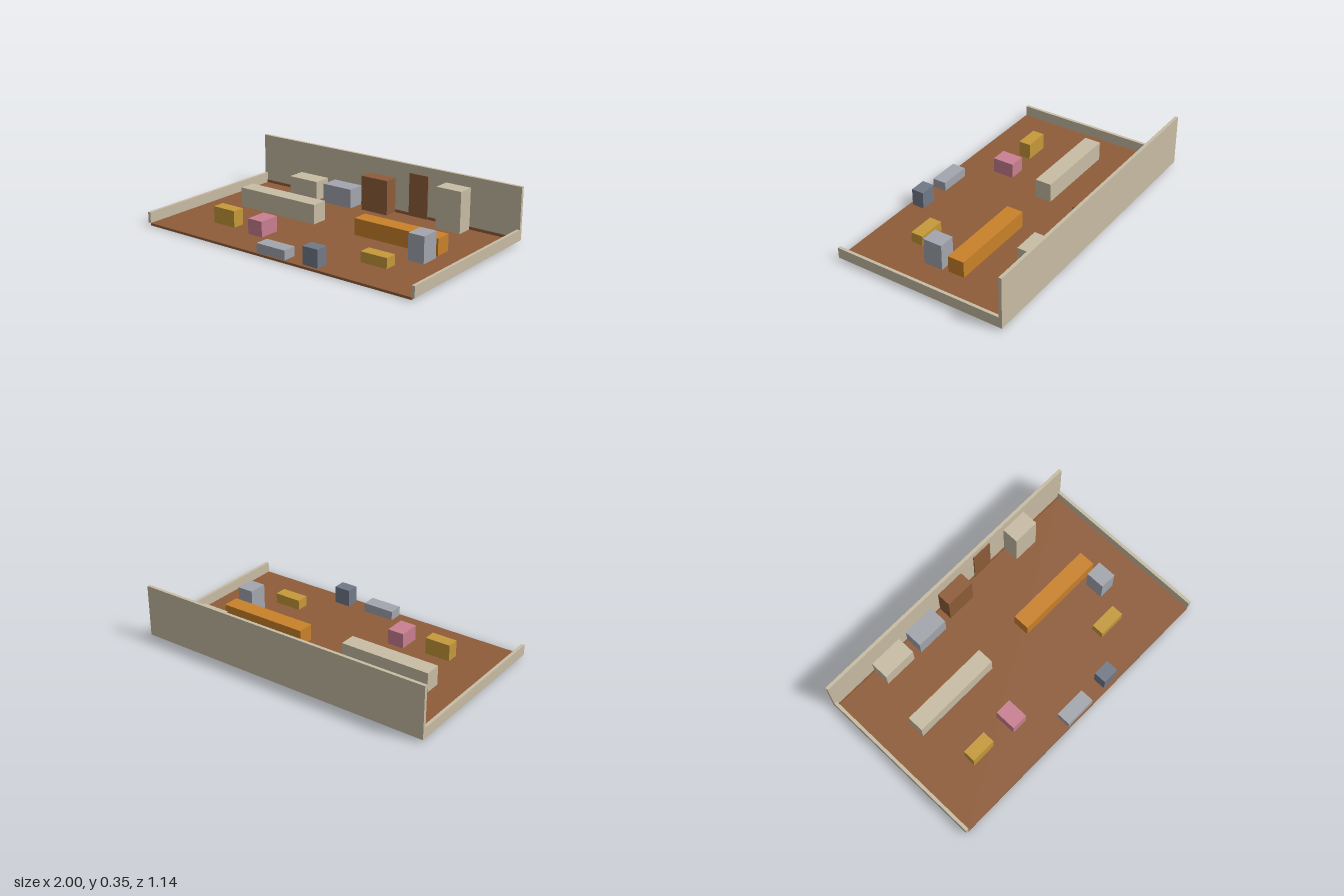
import * as THREE from 'three';

const paint = (name, color) => {
  const m = new THREE.MeshStandardMaterial({ color });
  m.name = name;
  return m;
};

export function createModel() {
  const group = new THREE.Group();
  group.name = 'furnishedRoom';

  const wood = paint('brown wood', 0x8f5d3a);
  const beige = paint('beige plaster', 0xc8bca4);
  const orange = paint('orange wood', 0xc9822a);
  const gold = paint('gold', 0xc6993a);
  const pink = paint('pink', 0xc97f91);
  const grey = paint('light grey', 0xa3a6ae);
  const slate = paint('slate grey', 0x727a88);

  // Box given by its extents along x, y and z
  const block = (name, mat, [x0, x1], [y0, y1], [z0, z1]) => {
    const mesh = new THREE.Mesh(new THREE.BoxGeometry(x1 - x0, y1 - y0, z1 - z0), mat);
    mesh.position.set((x0 + x1) / 2, (y0 + y1) / 2, (z0 + z1) / 2);
    mesh.name = name;
    group.add(mesh);
  };

  const F = 0.015; // floor top
  const B = -0.549; // inner face of back wall

  // Shell: floor, back wall, low side walls and skirting
  block('floor', wood, [-0.98, 0.98], [0, F], [B, 0.57]);
  block('backWall', beige, [-1, 1], [F, 0.352], [-0.57, B]);
  block('leftWall', beige, [0.98, 1], [F, 0.084], [B, 0.57]);
  block('rightWall', beige, [-1, -0.98], [F, 0.084], [B, 0.57]);
  block('skirtingBoard', wood, [-0.98, 0.98], [F, 0.034], [B, -0.545]);
  block('door', wood, [0.207, 0.347], [F, 0.297], [B, -0.542]);

  // Furniture: name, material, x extent, top height, z extent
  [
    ['beigeCabinet', beige, [-0.675, -0.448], 0.142, [B, -0.426]],
    ['greyCabinet', grey, [-0.39, -0.17], 0.142, [B, -0.426]],
    ['woodCupboard', wood, [-0.102, 0.098], 0.243, [B, -0.455]],
    ['tallCabinet', beige, [0.476, 0.653], 0.283, [B, -0.437]],
    ['longCounter', beige, [-0.76, -0.159], 0.142, [-0.144, -0.035]],
    ['longTable', orange, [0.154, 0.755], 0.122, [-0.144, -0.035]],
    ['greyLocker', grey, [0.656, 0.765], 0.183, [0.002, 0.128]],
    ['rightChest', gold, [-0.675, -0.508], 0.122, [0.235, 0.316]],
    ['leftChest', gold, [0.459, 0.642], 0.081, [0.235, 0.316]],
    ['pinkCrate', pink, [-0.366, -0.257], 0.114, [0.204, 0.346]],
    ['lowBench', grey, [-0.108, 0.102], 0.075, [0.47, 0.562]],
    ['slateBin', slate, [0.223, 0.333], 0.128, [0.466, 0.548]],
  ].forEach(([name, mat, x, top, z]) => block(name, mat, x, [F, top], z));

  return group;
}
